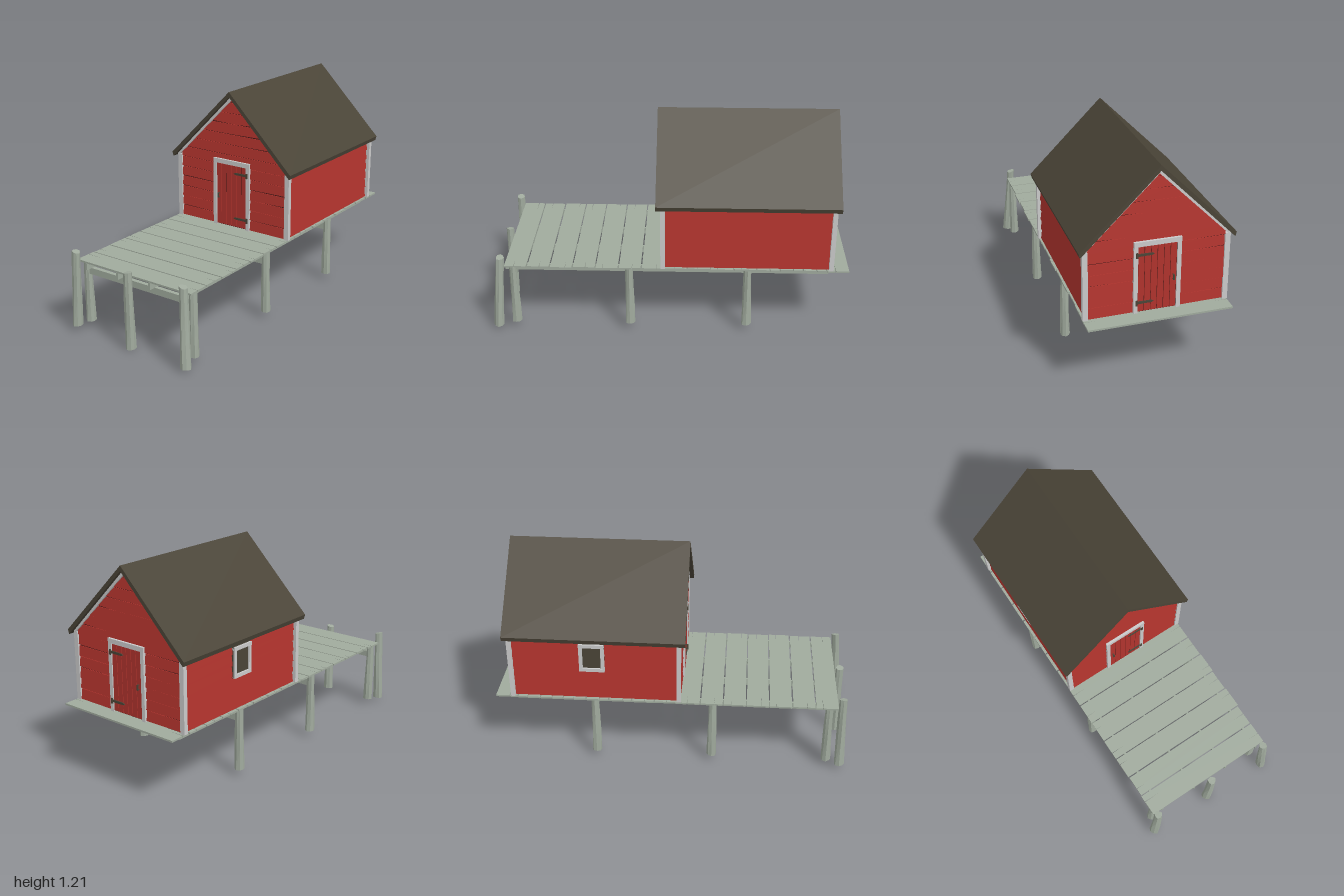
import * as THREE from 'three';

const mat = (name, color) => {
  const m = new THREE.MeshStandardMaterial({ color });
  m.name = name;
  return m;
};

export function createModel() {
  const red = mat('barn red', 0xb0332d);
  const darkRed = mat('dark red gap', 0x4a1816);
  const white = mat('trim white', 0xcacaca);
  const wood = mat('weathered wood', 0xa0aa9d);
  const dark = mat('dark roof', 0x4a4437);

  let seed = 7;
  const rand = () => (seed = (seed * 16807) % 2147483647) / 2147483647;

  const model = new THREE.Group();
  model.name = 'boathouse';

  const group = (name, parent) => {
    const g = new THREE.Group();
    g.name = name;
    parent.add(g);
    return g;
  };
  const add = (parent, name, geo, material) => {
    const m = new THREE.Mesh(geo, material);
    m.name = name;
    parent.add(m);
    return m;
  };
  // Box given by its minimum and maximum corners
  const box = (parent, name, material, x0, x1, y0, y1, z0, z1) => {
    const g = new THREE.BoxGeometry(x1 - x0, y1 - y0, z1 - z0);
    g.translate((x0 + x1) / 2, (y0 + y1) / 2, (z0 + z1) / 2);
    return add(parent, name, g, material);
  };
  const extrude = (pts, depth, z0) => {
    const shape = new THREE.Shape(pts.map(([x, y]) => new THREE.Vector2(x, y)));
    const g = new THREE.ExtrudeGeometry(shape, { depth, bevelEnabled: false });
    return g.translate(0, 0, z0);
  };

  // Uneven, leaning log post with a slanted top
  const post = (parent, name, a, b, r, slant = 0) => {
    const h = b[1] - a[1], phase = rand() * 6;
    const geo = new THREE.CylinderGeometry(r * 0.85, r * 1.1, 1, 8, 3).toNonIndexed();
    const p = geo.attributes.position;
    for (let i = 0; i < p.count; i++) {
      const x = p.getX(i), z = p.getZ(i), t = p.getY(i) + 0.5;
      const k = 1 + 0.09 * Math.sin(3 * Math.atan2(z, x) + 4 * t + phase);
      p.setXYZ(i, x * k + a[0] + (b[0] - a[0]) * t,
        a[1] + h * t + (t > 0.99 ? slant * x : 0),
        z * k + a[2] + (b[2] - a[2]) * t);
    }
    geo.computeVertexNormals();
    add(parent, name, geo, wood);
  };

  // ---- Dock ----
  const dock = group('dock', model);
  const pitch = 0.128;
  for (let i = 0; i < 15; i++) {
    const l = -0.384 - rand() * 0.004, r = 0.38 + rand() * 0.007;
    const d = pitch - 0.006, c1 = d * (0.25 + rand() * 0.5), c2 = d * (0.25 + rand() * 0.5);
    // Board outline with a narrow split at each end
    const geo = extrude([
      [l, 0], [r, 0.002 * rand()], [r, c1 - 0.002], [r - 0.04 - rand() * 0.06, c1], [r, c1 + 0.002],
      [r, d], [l, d - 0.003 * rand()], [l, c2 + 0.002], [l + 0.04 + rand() * 0.06, c2], [l, c2 - 0.002],
    ], 0.01, 0);
    geo.rotateX(-Math.PI / 2).translate(0, 0.395, -1 + pitch * (i + 1) - 0.003);
    add(dock, 'deckBoard', geo, wood);
  }
  for (const x of [-0.325, -0.105, 0.113, 0.33])
    box(dock, 'stringer', wood, x - 0.006, x + 0.006, 0.357, 0.396, -0.89, 0.918);
  for (const z of [0.87, 0.22, -0.44]) {
    box(dock, 'crossBeam', wood, -0.352, 0.345, 0.32, 0.357, z - 0.012, z + 0.012);
    for (const x of [-0.357, 0.358])
      post(dock, 'supportPost', [x + 0.002, 0.037, z], [x, 0.395, z], 0.025);
  }
  post(dock, 'mooringPostRight', [-0.385, 0.03, 0.945], [-0.372, 0.46, 0.94], 0.026, -0.25);
  post(dock, 'mooringPostCentre', [-0.003, 0.003, 0.945], [-0.006, 0.433, 0.945], 0.026, 0.2);
  post(dock, 'mooringPostLeft', [0.385, 0.02, 0.97], [0.354, 0.445, 0.942], 0.026, -0.25);

  // ---- House, centred on its own depth ----
  const house = group('house', model);
  house.position.z = -0.4325;
  const eave = 0.8, base = 0.405, row = 0.0612;
  const gableWidth = (y) => Math.max(0.0005, Math.min(0.361, 1.162 - y));

  add(house, 'innerWalls', extrude([
    [-0.361, base], [0.361, base], [0.361, eave], [0, 1.162], [-0.361, eave],
  ], 0.925, -0.4625), darkRed);

  // One overlapping board whose lower edge stands proud of the wall
  const clapboard = (parent, width, y0, y1, z, rough) => {
    const g1 = 0.003 + rough * rand(), g2 = 0.003 + rough * rand(), g3 = 0.003 + rough * rand() * 0.5;
    const w0 = width(y0), w1 = width(y1);
    const mid = (rand() - 0.5) * w0;
    const kink = width === gableWidth && y0 < eave && y1 > eave;
    const k = kink ? [[0.361, eave]] : [];
    const geo = extrude([
      [-w0, y0 + g1], [mid, y0 + g3], [w0, y0 + g2], ...k,
      [w1, y1], [-w1, y1], ...k.map(([x, y]) => [-x, y]),
    ], 0.004, z);
    const p = geo.attributes.position;
    for (let i = 0; i < p.count; i++)
      if (p.getZ(i) > z + 0.002) p.setZ(i, p.getZ(i) + 0.13 * (y1 - p.getY(i)));
    geo.computeVertexNormals();
    add(parent, 'clapboard', geo, red);
  };

  // Gable end with door; s keeps hinges on the same side of the house
  const buildEnd = (name, s, turn) => {
    const end = group(name, house);
    end.rotation.y = turn;
    for (let y = base; y < 1.15; y += row)
      clapboard(end, gableWidth, y, Math.min(y + row, 1.161), 0.4625, 0.007);

    // Trim under the roof edge
    add(end, 'gableTrim', extrude([
      [-0.388, 0.772], [0, 1.16], [0.388, 0.772], [0.388, 0.794], [0, 1.183], [-0.388, 0.794],
    ], 0.02, 0.458), white);

    const door = group('door', end);
    box(door, 'doorBack', darkRed, -0.108, 0.108, 0.41, 0.785, 0.46, 0.4755);
    for (let i = 0; i < 6; i++) {
      const x = -0.102 + i * 0.034;
      box(door, 'doorBoard', red, x + 0.0015, x + 0.0325, 0.413, 0.779, 0.47, 0.479);
    }
    for (const d of [-1, 1])
      box(door, 'doorJamb', white, d * 0.114 - 0.011, d * 0.114 + 0.011, base, 0.807, 0.46, 0.483);
    box(door, 'doorHead', white, -0.125, 0.125, 0.781, 0.807, 0.46, 0.4835);
    for (const y of [0.465, 0.735]) {
      const strap = [[0.115, y - 0.007], [0.115, y + 0.007], [0.03, y + 0.006], [0.018, y], [0.03, y - 0.006]];
      add(door, 'hingeStrap', extrude(strap.map(([x, v]) => [s * x, v]), 0.005, 0.479), dark);
      box(door, 'hingePin', dark, s * 0.11 - 0.005, s * 0.11 + 0.005, y - 0.015, y + 0.015, 0.48, 0.488);
    }
    const hx = -s * 0.085;
    box(door, 'doorHandle', dark, hx - 0.004, hx + 0.004, 0.572, 0.602, 0.488, 0.493);
    for (const y of [0.572, 0.597])
      box(door, 'handleMount', dark, hx - 0.003, hx + 0.003, y, y + 0.005, 0.478, 0.49);
  };
  buildEnd('frontGable', 1, 0);
  buildEnd('backGable', -1, Math.PI);

  // Long side walls
  for (const s of [-1, 1]) {
    const side = group(s > 0 ? 'leftWall' : 'rightWall', house);
    side.rotation.y = s * Math.PI / 2;
    for (let i = 0; i < 6; i++)
      clapboard(side, () => 0.455, base + i * row, Math.min(base + (i + 1) * row, 0.785), 0.361, 0.001);
    for (const e of [-1, 1])
      box(house, 'cornerBoard', white, s * 0.374 - 0.014, s * 0.374 + 0.014, base, 0.786,
        e * 0.465 - 0.0125, e * 0.465 + 0.0125);
    if (s > 0) continue;
    // Small window
    const win = group('window', side);
    const c = -0.0125, hw = 0.07, lo = 0.585, hi = 0.755, t = 0.02;
    box(win, 'pane', dark, c - hw, c + hw, lo, hi, 0.36, 0.377);
    for (const d of [-1, 1])
      box(win, 'windowJamb', white, c + d * (hw - t / 2) - t / 2, c + d * (hw - t / 2) + t / 2, lo, hi, 0.36, 0.386);
    box(win, 'windowSill', white, c - hw, c + hw, lo, lo + t, 0.36, 0.387);
    box(win, 'windowHead', white, c - hw, c + hw, hi - t, hi, 0.36, 0.387);
  }

  // Pitched roof
  add(house, 'roof', extrude([
    [0, 1.21], [-0.411, 0.798], [-0.404, 0.773], [0, 1.181], [0.404, 0.773], [0.411, 0.798],
  ], 1.0, -0.4975), dark);

  return model;
}
